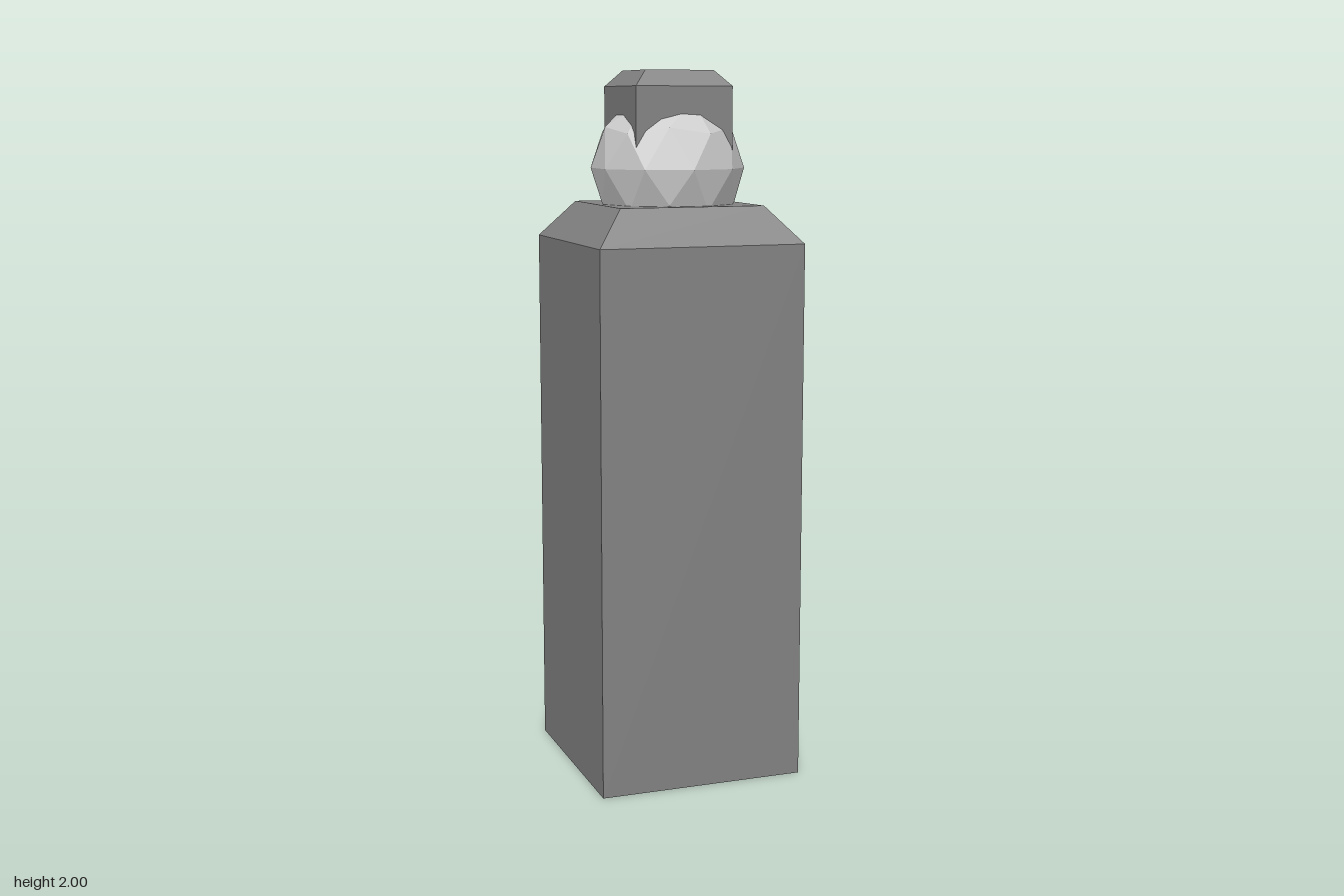
import * as THREE from 'three';

const stone = new THREE.MeshStandardMaterial({ color: 0x838383, flatShading: true });
const paleStone = new THREE.MeshStandardMaterial({ color: 0xcccccc, flatShading: true });

function addMesh(group, name, geometry, material, y) {
  const mesh = new THREE.Mesh(geometry, material);
  mesh.name = name;
  mesh.position.y = y;
  group.add(mesh);
}

// Square block from y0 to y1 whose half width goes from bottom to top
function squareBlock(group, name, bottom, top, y0, y1) {
  const geometry = new THREE.CylinderGeometry(top * Math.SQRT2, bottom * Math.SQRT2, y1 - y0, 4);
  geometry.rotateY(Math.PI / 4);
  addMesh(group, name, geometry, stone, (y0 + y1) / 2);
}

export function createModel() {
  const model = new THREE.Group();
  model.name = 'pillar';

  // Tall post with a sloped shoulder
  squareBlock(model, 'post', 0.296, 0.296, 0, 1.528);
  squareBlock(model, 'shoulder', 0.296, 0.209, 1.528, 1.63);

  // Pale faceted ball, turned so that one vertex points straight up
  const ball = new THREE.IcosahedronGeometry(0.217, 1);
  ball.rotateZ(-Math.atan(2 / (1 + Math.sqrt(5))));
  addMesh(model, 'ball', ball, paleStone, 1.73);

  // Cube sunk into the ball, with a bevelled top
  squareBlock(model, 'finialBlock', 0.141, 0.141, 1.74, 1.956);
  squareBlock(model, 'finialCap', 0.141, 0.1, 1.956, 2);

  return model;
}
